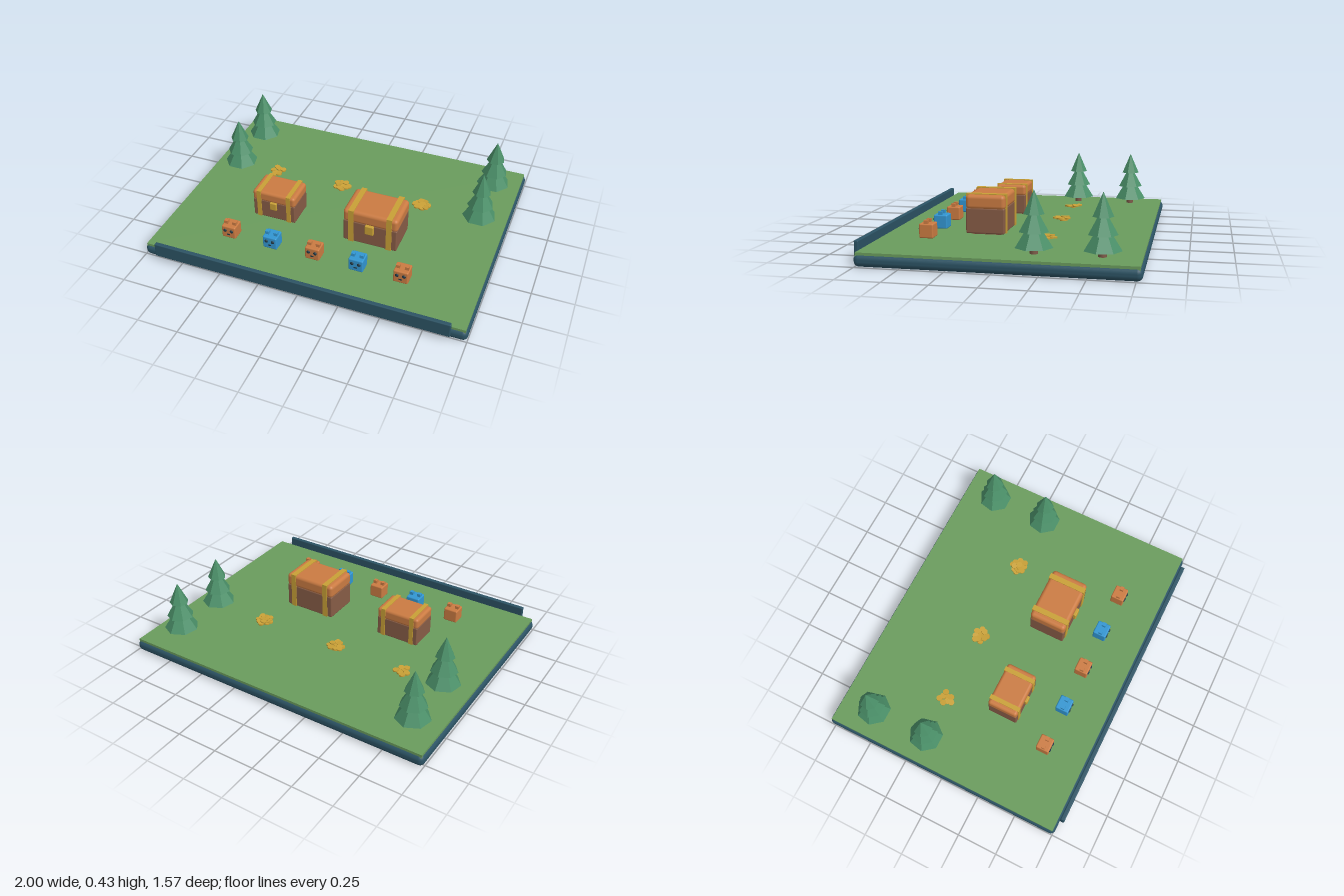
import * as THREE from 'three';
import { RoundedBoxGeometry } from 'three/addons/geometries/RoundedBoxGeometry.js';

const mat = (name, color, flatShading = false) => {
  const m = new THREE.MeshStandardMaterial({ color, flatShading });
  m.name = name;
  return m;
};

export function createModel() {
  const navy = mat('navy', 0x2c5364);
  const grass = mat('grass', 0x6a9c5d);
  const pine = mat('pine', 0x4a8f68, true);
  const bark = mat('bark', 0x7d5a48);
  const wood = mat('dark wood', 0x875c46);
  const orange = mat('orange', 0xcb7b42);
  const blue = mat('blue', 0x3296d2);
  const gold = mat('gold', 0xc9a036);
  const ink = mat('ink', 0x1d3644);

  const model = new THREE.Group();
  model.name = 'treasureMeadow';

  const add = (parent, name, geometry, material, x = 0, y = 0, z = 0) => {
    const mesh = new THREE.Mesh(geometry, material);
    mesh.name = name;
    mesh.position.set(x, y, z);
    parent.add(mesh);
    return mesh;
  };
  const group = (name, x, y, z) => {
    const g = new THREE.Group();
    g.name = name;
    g.position.set(x, y, z);
    model.add(g);
    return g;
  };
  const box = (w, h, d) => new THREE.BoxGeometry(w, h, d);
  const round = (w, h, d, r) => new RoundedBoxGeometry(w, h, d, 3, r);

  // Base slab, lawn and front rail
  const top = 0.08;
  add(model, 'baseSlab', round(2, 0.07, 1.54, 0.03), navy, 0, 0.035, -0.013);
  add(model, 'lawn', box(1.975, 0.025, 1.515), grass, 0, top - 0.0125, -0.013);
  add(model, 'frontRail', round(1.82, 0.09, 0.026, 0.006), navy, 0, 0.081, 0.77);

  // Pine trees: trunk and three overlapping seven-sided tiers
  const tiers = [[0.105, 0.035, 0.165], [0.082, 0.12, 0.145], [0.058, 0.215, 0.13]];
  for (const x of [-0.82, 0.82]) {
    for (const z of [-0.56, -0.195]) {
      const tree = group('pineTree', x, top, z);
      add(tree, 'trunk', new THREE.CylinderGeometry(0.019, 0.024, 0.08, 7), bark, 0, 0.04, 0);
      for (const [r, y, h] of tiers) {
        add(tree, 'foliageTier', new THREE.ConeGeometry(r, h, 7), pine, 0, y + h / 2, 0).rotation.y = Math.PI;
      }
    }
  }

  // Chests: wooden body, rounded lid, two wrapped straps and a lock
  for (const [x, z, s] of [[0.27, 0.17, 1], [-0.366, 0.166, 0.82]]) {
    const chest = group('chest', x, top, z);
    chest.scale.setScalar(s);
    add(chest, 'plinth', box(0.28, 0.02, 0.18), wood, 0, 0.01, 0);
    add(chest, 'body', round(0.336, 0.15, 0.23, 0.008), wood, 0, 0.083, 0);
    add(chest, 'lid', round(0.342, 0.085, 0.234, 0.022), orange, 0, 0.192, 0);
    for (const side of [-1, 1]) {
      add(chest, 'strap', box(0.034, 0.231, 0.24), gold, side * 0.119, 0.1235, 0);
    }
    add(chest, 'lock', round(0.054, 0.063, 0.022, 0.006), gold, 0, 0.13, 0.123);
  }

  // Row of little cube creatures in alternating colours
  for (let i = 0; i < 5; i++) {
    const creature = group('cubeCreature', (i - 2) * 0.273 - 0.004, top, 0.48);
    const skin = i % 2 ? blue : orange;
    add(creature, 'cubeBody', round(0.09, 0.084, 0.084, 0.008), skin, 0, 0.042, 0);
    for (const side of [-1, 1]) {
      add(creature, 'ear', box(0.024, 0.024, 0.024), skin, side * 0.027, 0.092, 0.002);
      const eye = add(creature, 'eye', new THREE.SphereGeometry(0.011, 12, 8), ink, side * 0.021, 0.054, 0.042);
      eye.scale.z = 0.7;
    }
    add(creature, 'mouth', box(0.02, 0.007, 0.006), ink, 0, 0.028, 0.042);
  }

  // Scattered coin piles
  let seed = 11;
  const random = () => (seed = (seed * 16807) % 2147483647) / 2147483647;
  const coin = new THREE.CylinderGeometry(0.019, 0.019, 0.009, 12);
  for (const [x, count] of [[-0.555, 8], [-0.095, 14], [0.45, 18]]) {
    const pile = group('coinPile', x, top, -0.197);
    for (let i = 0; i < count; i++) {
      const angle = i * 2.4;
      const r = 0.045 * Math.sqrt((i + 0.5) / count);
      const c = add(pile, 'coin', coin, gold, Math.cos(angle) * r, 0.006 + 0.012 * random(), Math.sin(angle) * r);
      c.rotation.set((random() - 0.5) * 0.25, 0, (random() - 0.5) * 0.25);
    }
  }

  return model;
}
